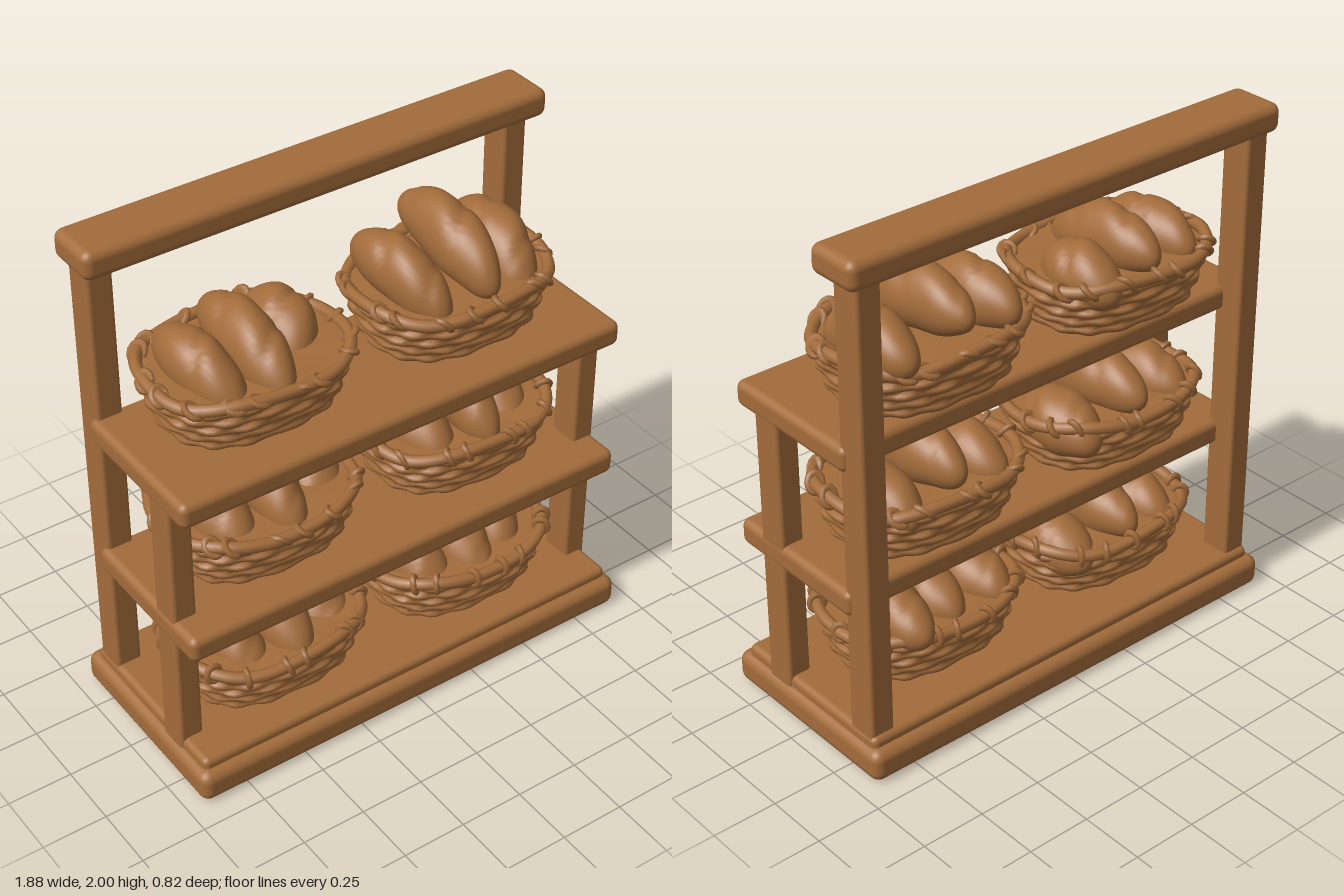
import * as THREE from 'three';
import { mergeVertices } from 'three/addons/utils/BufferGeometryUtils.js';
import { RoundedBoxGeometry } from 'three/addons/geometries/RoundedBoxGeometry.js';

const brown = new THREE.MeshStandardMaterial({ color: 0xa36c3b });
brown.name = 'warm brown';

function add(parent, name, geometry) {
  const mesh = new THREE.Mesh(geometry, brown);
  mesh.name = name;
  parent.add(mesh);
  return mesh;
}

// Rounded timber given by its lower and upper corners
function timber(parent, name, lo, hi, radius) {
  const s = hi.map((v, i) => v - lo[i]);
  const mesh = add(parent, name, new RoundedBoxGeometry(s[0], s[1], s[2], 3, radius));
  mesh.position.set(...hi.map((v, i) => (v + lo[i]) / 2));
}

// Moves every vertex by a rule, then welds seams and smooths the normals
function reshape(geometry, rule) {
  geometry.deleteAttribute('uv');
  geometry.deleteAttribute('normal');
  const g = mergeVertices(geometry, 1e-5);
  const p = g.attributes.position;
  const v = new THREE.Vector3();
  for (let i = 0; i < p.count; i++) {
    rule(v.fromBufferAttribute(p, i));
    p.setXYZ(i, v.x, v.y, v.z);
  }
  g.computeVertexNormals();
  return g;
}

// Point on the rounded-oblong outline of a basket
function outline(a) {
  const bend = (t) => Math.sign(t) * Math.abs(t) ** 0.8;
  return [bend(Math.cos(a)), bend(Math.sin(a))];
}

// Woven wall: rows of wicker bulging between uprights
function wallGeometry(seed) {
  const height = 0.2, rows = 5;
  return reshape(new THREE.CylinderGeometry(1, 1, 1, 84, 25), (v) => {
    const t = v.y + 0.5;
    const r = Math.hypot(v.x, v.z);
    const a = Math.atan2(v.z, v.x);
    const [ox, oz] = outline(a);
    const row = Math.floor(Math.min(t, 0.999) * rows);
    const weave = 0.013 * Math.abs(Math.sin(t * rows * Math.PI))
      + 0.006 * Math.sin(a * 14 + row * Math.PI + seed);
    const flare = 0.05 * Math.sin(t * Math.PI / 2);
    v.set(ox * r * (0.305 + flare + weave),
      t * height + 0.004 * Math.sin(a * 5 + seed) * t,
      oz * r * (0.225 + flare + weave));
  });
}

// Wavy rim with binding knots
function addRim(basket, seed) {
  const at = (a) => {
    const [x, z] = outline(a);
    return new THREE.Vector3(x * 0.365, 0.205 + 0.01 * Math.sin(a * 4 + seed), z * 0.285);
  };
  const points = [];
  for (let i = 0; i < 40; i++) points.push(at(i / 40 * Math.PI * 2));
  const curve = new THREE.CatmullRomCurve3(points, true);
  add(basket, 'basketRim', new THREE.TubeGeometry(curve, 90, 0.023, 8, true));
  const knots = 17;
  for (let i = 0; i < knots; i++) {
    const u = (i + 0.25 * Math.sin(i * 2.7 + seed)) / knots;
    const k = add(basket, 'rimBinding', new THREE.TorusGeometry(0.026, 0.012, 6, 12));
    const p = curve.getPointAt((u + 1) % 1);
    k.position.copy(p);
    k.lookAt(p.clone().add(curve.getTangentAt((u + 1) % 1)));
    k.rotateY(0.45 * Math.sin(i * 1.9 + seed));
    k.scale.y = 1.25;
  }
}

// Tapered, arched loaf with diagonal cuts across the crust
function loafGeometry(width, height, length, seed) {
  return reshape(new THREE.SphereGeometry(1, 36, 36).rotateX(Math.PI / 2), (v) => {
    const s = v.z * 4.2 + v.x * 1.3 + seed;
    const cut = Math.max(0, Math.cos(s * 1.6)) ** 10 * Math.max(0, v.y) * 0.13;
    const round = 1 - cut + 0.03 * Math.sin(v.z * 6 + v.x * 4 + seed);
    v.set(v.x * width * round,
      v.y * height * round - 0.05 * v.z * v.z,
      v.z * length);
  });
}

// Each loaf: x, top height above the shelf, half width, centre z, half length
const baskets = [
  { x: -0.43, y: 1.285, z: -0.05, loaves: [[-0.61, 0.35, 0.1, -0.04, 0.24], [-0.42, 0.385, 0.1, -0.04, 0.27], [-0.23, 0.33, 0.11, -0.12, 0.2]] },
  { x: 0.425, y: 1.285, z: -0.05, loaves: [[0.23, 0.4, 0.1, -0.06, 0.25], [0.45, 0.465, 0.1, -0.07, 0.28], [0.65, 0.37, 0.11, -0.07, 0.25]] },
  { x: -0.43, y: 0.715, z: -0.02, loaves: [[-0.61, 0.33, 0.11, -0.02, 0.24], [-0.4, 0.385, 0.105, -0.02, 0.27], [-0.19, 0.295, 0.12, -0.06, 0.22]] },
  { x: 0.425, y: 0.715, z: -0.02, loaves: [[0.25, 0.33, 0.11, -0.02, 0.24], [0.44, 0.415, 0.1, -0.02, 0.27], [0.62, 0.31, 0.11, -0.04, 0.23]] },
  { x: -0.435, y: 0.16, z: 0.02, loaves: [[-0.6, 0.325, 0.11, 0.02, 0.24], [-0.41, 0.38, 0.105, 0.02, 0.27], [-0.21, 0.3, 0.12, 0, 0.23]] },
  { x: 0.405, y: 0.16, z: 0.02, loaves: [[0.2, 0.33, 0.115, 0.02, 0.24], [0.4, 0.34, 0.11, 0.04, 0.25], [0.58, 0.36, 0.115, -0.02, 0.26]] },
];

export function createModel() {
  const model = new THREE.Group();
  model.name = 'breadShelf';

  // Stepped base, shelves and top rail
  timber(model, 'base', [-0.94, 0, -0.41], [0.935, 0.125, 0.41], 0.04);
  timber(model, 'baseStep', [-0.91, 0.05, -0.37], [0.91, 0.163, 0.37], 0.025);
  timber(model, 'lowerShelf', [-0.925, 0.618, -0.27], [0.92, 0.72, 0.355], 0.03);
  timber(model, 'upperShelf', [-0.925, 1.188, -0.27], [0.92, 1.288, 0.335], 0.03);
  timber(model, 'topRail', [-0.945, 1.89, -0.375], [0.94, 2, -0.155], 0.035);

  // Tall back posts and short front posts
  for (const side of [-1, 1]) {
    const span = (a, b) => (side < 0 ? [-b, -a] : [a, b]);
    const [b0, b1] = span(0.805, 0.905);
    timber(model, 'backPost', [b0, 0.1, -0.352], [b1, 1.93, -0.23], 0.015);
    const [f0, f1] = span(0.825, 0.918);
    timber(model, 'frontPost', [f0, 0.1, 0.105], [f1, 1.23, 0.228], 0.015);
  }

  // Baskets of bread
  baskets.forEach((b, i) => {
    const basket = new THREE.Group();
    basket.name = 'breadBasket';
    basket.position.set(b.x, b.y, b.z);
    add(basket, 'basketWall', wallGeometry(i * 1.7));
    addRim(basket, i * 2.3);
    b.loaves.forEach(([x, top, width, z, length], j) => {
      const height = 0.125;
      const loaf = add(basket, 'loaf', loafGeometry(width, height, length, i * 1.3 + j * 2.1));
      loaf.position.set(x - b.x, top - height - 0.005, z - b.z);
      loaf.rotation.set(0.2, (j - 1) * -0.1, (1 - j) * 0.15);
    });
    model.add(basket);
  });
  return model;
}
